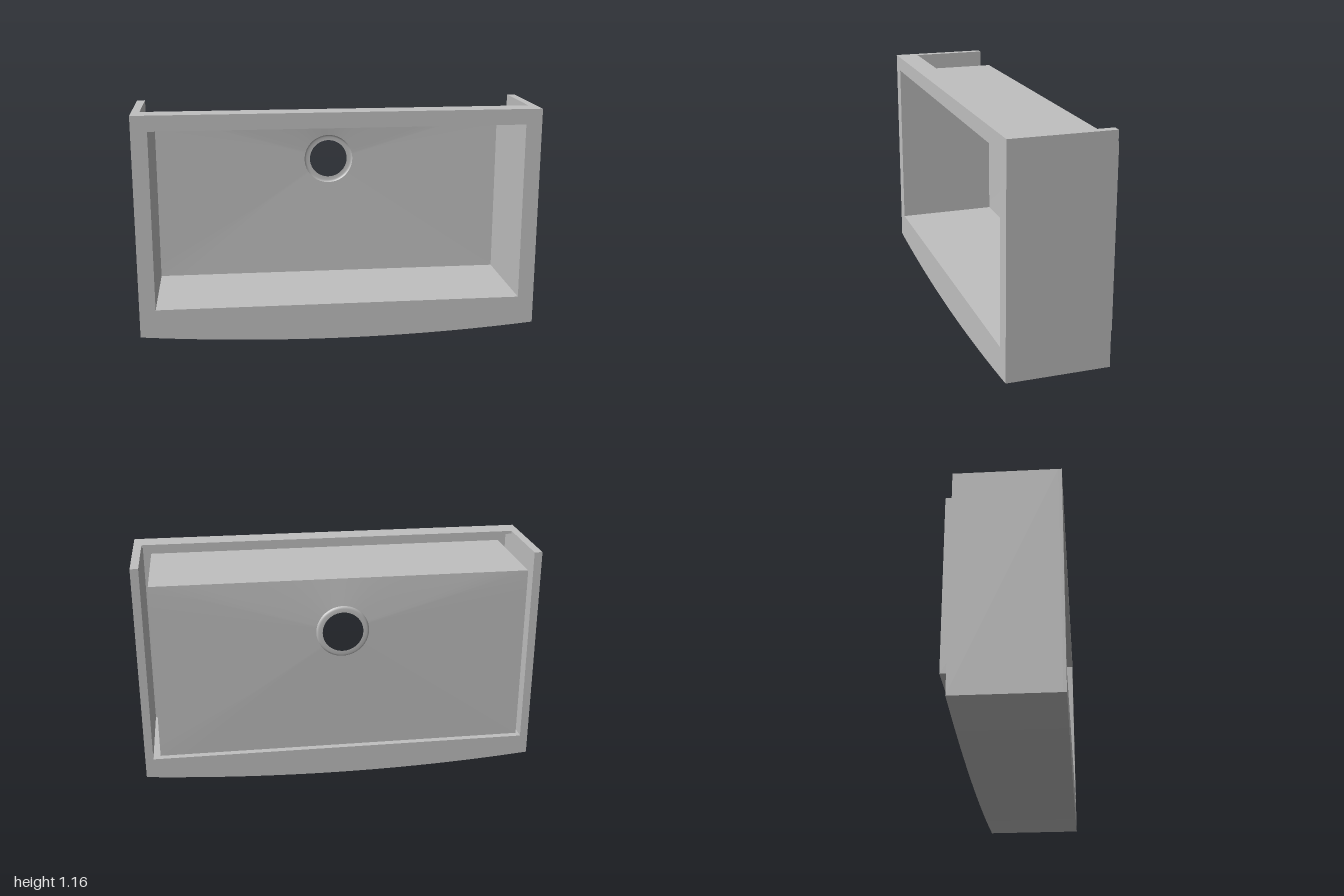
import * as THREE from 'three';

const FRONT = 0.283, BACK = -0.217, PAN = -0.258;   // depth stations
const X = 0.92, Y0 = 0.185, Y1 = 1.08, TOP = 1.157; // bowl opening and rim height
const DRAIN_Y = 0.815, DRAIN_R = 0.13;

export function createModel() {
  const group = new THREE.Group();
  const steel = new THREE.MeshStandardMaterial({ color: 0xc0c0c0, side: THREE.DoubleSide });
  steel.name = 'brushed steel';

  const add = (name, geometry, x = 0, y = 0, z = 0) => {
    const mesh = new THREE.Mesh(geometry, steel);
    mesh.name = name;
    mesh.position.set(x, y, z);
    group.add(mesh);
    return mesh;
  };

  // Bowed lower edge, running from right to left
  const bow = (shape) => {
    for (let i = 0; i <= 24; i++) {
      const x = -1 + i / 12;
      if (i === 0) shape.moveTo(x, 0.045);
      else shape.lineTo(x, 0.045 * x * x);
    }
    return shape;
  };

  // Front rim with the rectangular bowl opening
  const rim = bow(new THREE.Shape());
  rim.lineTo(1, TOP);
  rim.lineTo(-1, TOP);
  rim.closePath();
  const opening = new THREE.Path();
  opening.moveTo(-X, Y0);
  opening.lineTo(-X, Y1);
  opening.lineTo(X, Y1);
  opening.lineTo(X, Y0);
  opening.closePath();
  rim.holes.push(opening);
  add('frontRim', new THREE.ExtrudeGeometry(rim, { depth: 0.015, bevelEnabled: false }), 0, 0, FRONT - 0.015);

  // U-shaped surround: two side walls and the thick bowed apron
  const surround = bow(new THREE.Shape());
  surround.lineTo(1, TOP);
  surround.lineTo(0.96, TOP);
  surround.lineTo(0.96, 0.145);
  surround.lineTo(-0.96, 0.145);
  surround.lineTo(-0.96, TOP);
  surround.lineTo(-1, TOP);
  surround.closePath();
  add('apronSurround', new THREE.ExtrudeGeometry(surround, {
    depth: FRONT - 0.015 - BACK, bevelEnabled: false,
  }), 0, 0, BACK);

  // Narrow lip folded back from the upper edge
  add('upperLip', new THREE.BoxGeometry(1.92, 0.015, 0.1), 0, TOP - 0.0075, FRONT - 0.065);

  // Thin bowl walls
  const depth = FRONT - PAN, midZ = (FRONT + PAN) / 2, midY = (Y0 + Y1) / 2;
  for (const s of [-1, 1]) {
    add(s > 0 ? 'bowlLeftWall' : 'bowlRightWall', new THREE.PlaneGeometry(depth, Y1 - Y0), s * X, midY, midZ)
      .rotation.y = s * Math.PI / 2;
    add(s > 0 ? 'bowlUpperWall' : 'bowlLowerWall', new THREE.PlaneGeometry(2 * X, depth), 0, s > 0 ? Y1 : Y0, midZ)
      .rotation.x = -s * Math.PI / 2;
  }

  // Bowl floor: lofted from the rectangle to the round drain
  const N = 72, positions = [], index = [];
  const corners = [[X, Y1], [-X, Y1], [-X, Y0], [X, Y0]];
  const outer = [];
  for (let i = 0; i < N; i++) {
    const a = i / N * Math.PI * 2, c = Math.cos(a), s = Math.sin(a);
    const t = Math.min(X / Math.max(Math.abs(c), 1e-6),
      (s > 0 ? Y1 - DRAIN_Y : DRAIN_Y - Y0) / Math.max(Math.abs(s), 1e-6));
    outer.push([c * t, DRAIN_Y + s * t]);
  }
  for (const [x, y] of corners) {
    const a = (Math.atan2(y - DRAIN_Y, x) + Math.PI * 2) % (Math.PI * 2);
    outer[Math.round(a / (Math.PI * 2) * N) % N] = [x, y];
  }
  for (let i = 0; i < N; i++) {
    const a = i / N * Math.PI * 2, j = (i + 1) % N;
    positions.push(...outer[i], PAN,
      DRAIN_R * Math.cos(a), DRAIN_Y + DRAIN_R * Math.sin(a), -0.273);
    index.push(2 * i, 2 * j, 2 * i + 1, 2 * j, 2 * j + 1, 2 * i + 1);
  }
  const floor = new THREE.BufferGeometry();
  floor.setAttribute('position', new THREE.Float32BufferAttribute(positions, 3));
  floor.setIndex(index);
  floor.computeVertexNormals();
  add('bowlFloor', floor);

  // Recessed drain collar with an open hole
  const collar = [[DRAIN_R, 0.273], [0.127, 0.279], [0.119, 0.283], [0.1, 0.283]]
    .map(([r, h]) => new THREE.Vector2(r, h));
  add('drainCollar', new THREE.LatheGeometry(collar, N), 0, DRAIN_Y, 0).rotation.x = -Math.PI / 2;

  return group;
}
